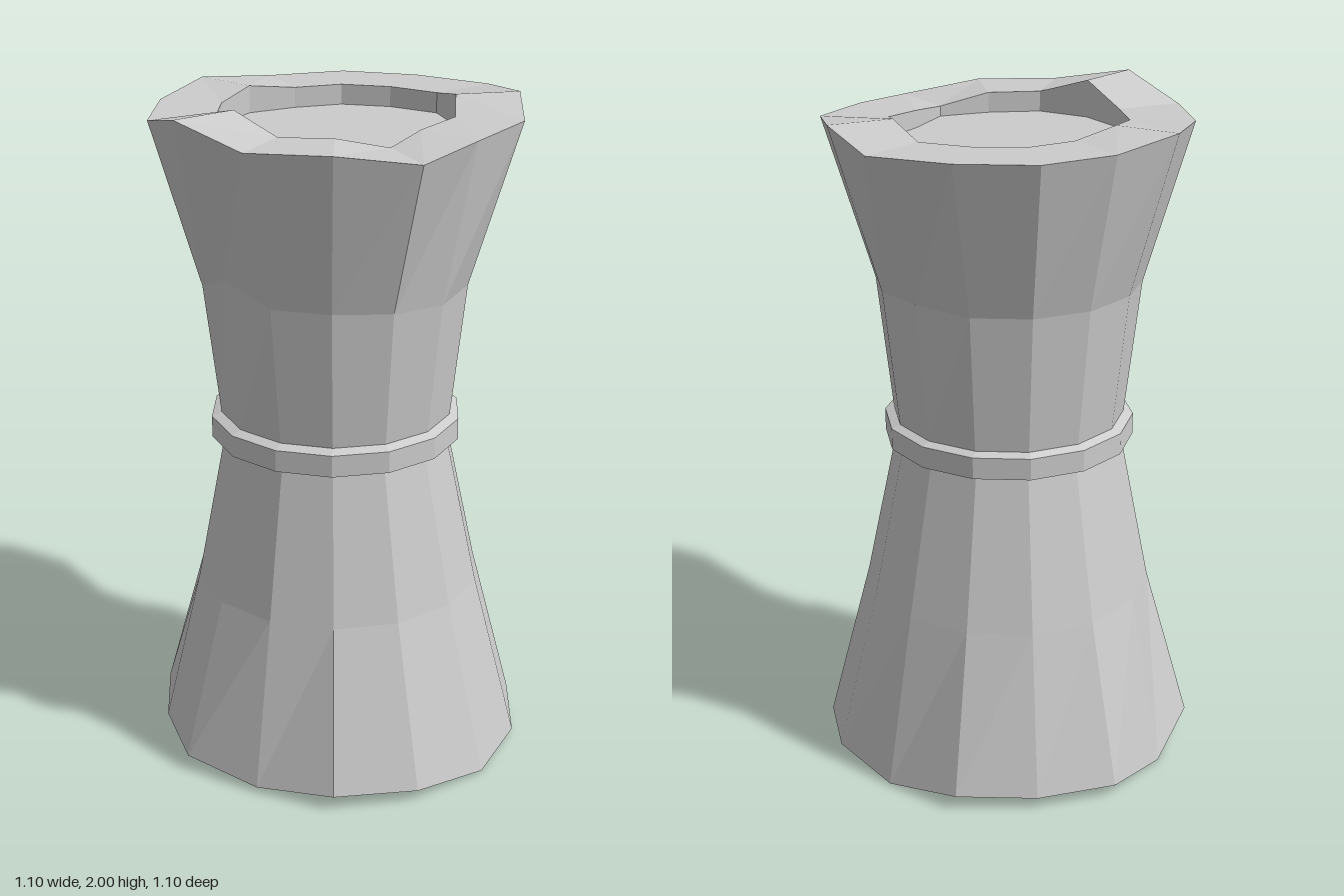
import * as THREE from 'three';

const SIDES = 14;

// Uneven rim outlines, column by column from the front towards +x
const topR = [0.545, 0.52, 0.54, 0.49, 0.53, 0.53, 0.56, 0.52, 0.52, 0.5, 0.53, 0.53, 0.54, 0.55];
const topY = [1.95, 1.95, 1.92, 1.94, 1.95, 1.98, 1.95, 1.95, 1.95, 1.95, 1.97, 1.95, 1.945, 2.0];
const holeR = [0.355, 0.33, 0.34, 0.295, 0.335, 0.34, 0.36, 0.335, 0.33, 0.315, 0.34, 0.345, 0.35, 0.355];
const footR = [0.53, 0.57, 0.57, 0.565, 0.56, 0.555, 0.53, 0.55, 0.53, 0.555, 0.53, 0.565, 0.545, 0.57];
const footY = [0.02, 0.05, 0.04, 0.01, 0.02, 0.035, 0.01, 0.05, 0.04, 0.04, 0.005, 0.055, 0.055, 0.05];
const upperY = [1.48, 1.48, 1.47, 1.46, 1.47, 1.48, 1.49, 1.48, 1.48, 1.48, 1.48, 1.47, 1.46, 1.53];

const at = (v, k) => (Array.isArray(v) ? v[k % SIDES] : v);

// Cross-section loop: radius and height may vary per column; dz shifts it forward
const ring = (r, y, dz = 0) => (k) => {
  const a = (k % SIDES) * Math.PI * 2 / SIDES;
  return [Math.sin(a) * at(r, k), at(y, k), Math.cos(a) * at(r, k) + dz];
};

// Skin consecutive loops with flat, unshared triangles
function skin(rings) {
  const pos = [];
  for (let i = 0; i < rings.length - 1; i++) {
    for (let k = 0; k < SIDES; k++) {
      const a = rings[i](k), b = rings[i](k + 1);
      const c = rings[i + 1](k + 1), d = rings[i + 1](k);
      pos.push(...a, ...b, ...c, ...a, ...c, ...d);
    }
  }
  const g = new THREE.BufferGeometry();
  g.setAttribute('position', new THREE.Float32BufferAttribute(pos, 3));
  g.computeVertexNormals();
  return g;
}

export function createModel() {
  const model = new THREE.Group();
  const stone = new THREE.MeshStandardMaterial({ color: 0xcccccc });
  stone.name = 'paleStone';

  const add = (name, rings) => {
    const mesh = new THREE.Mesh(skin(rings), stone);
    mesh.name = name;
    model.add(mesh);
  };

  const foot = ring(footR, footY);
  const rim = ring(topR, topY);
  const waist = ring(0.335, 1.0, 0.015);

  // Hollowed underside
  add('baseRecess', [ring(0, 0.1), ring(0.37, 0.1), ring(0.37, footY), foot]);

  // Flaring lower half
  add('lowerBody', [foot, ring(0.43, 0.53, 0.005), waist]);

  // Upper half, widening to the rim
  add('upperBody', [waist, ring(0.345, 1.07, 0.015), ring(0.39, upperY, 0.017), rim]);

  // Uneven rim with a shallow sunken seat
  add('topRim', [rim, ring(holeR, topY), ring(holeR, 1.89), ring(0, 1.89)]);

  // Band around the waist
  add('waistBand', [
    ring(0.325, 0.99, 0.018), ring(0.372, 0.99, 0.018),
    ring(0.372, 1.055, 0.018), ring(0.335, 1.07, 0.015),
  ]);

  return model;
}
